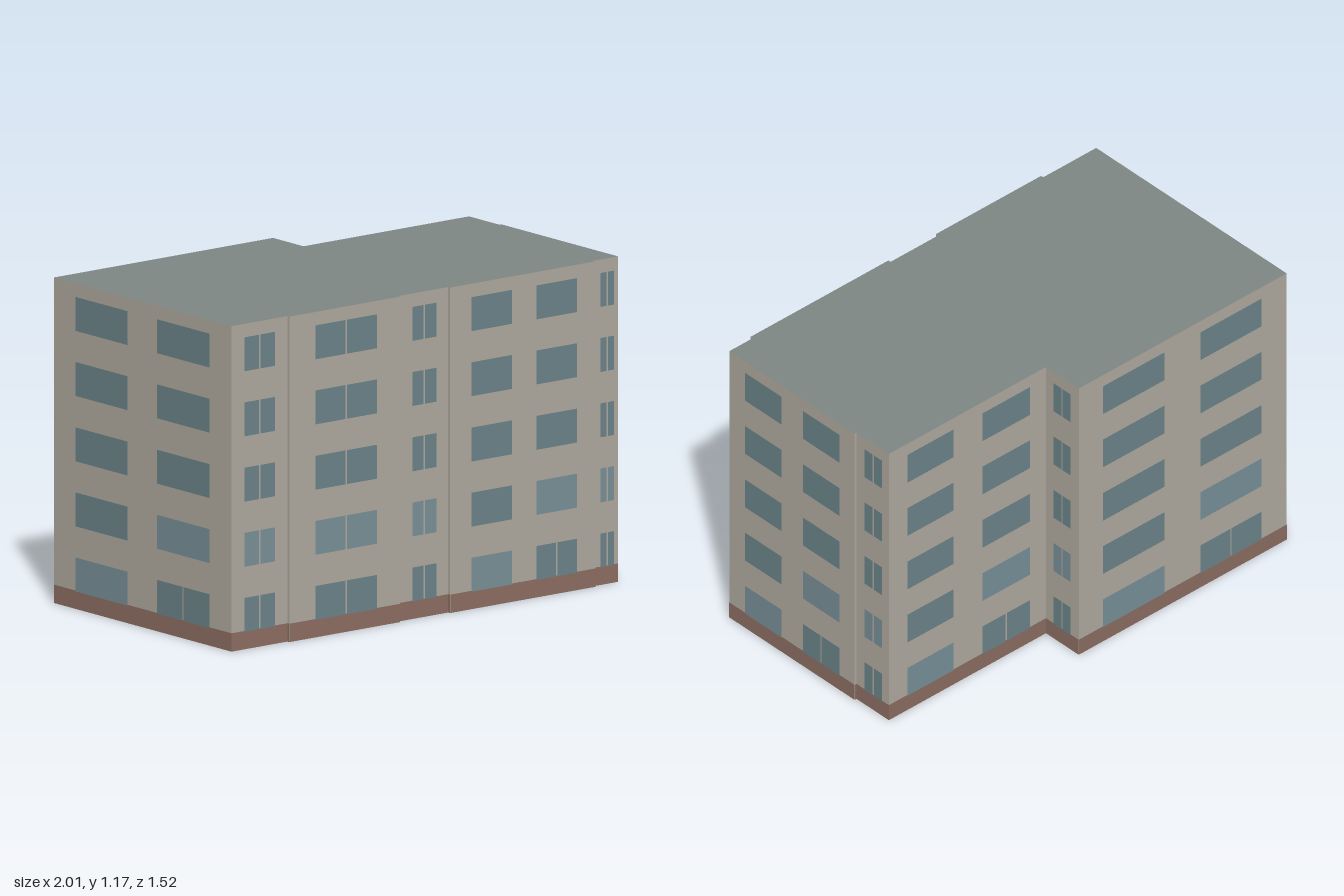
import * as THREE from 'three';

const HEIGHT = 1.17, PLINTH = 0.066, TURN = 0.476;
const ROWS = [0.063, 0.297, 0.531, 0.766, 1.0], WINDOW_H = 0.122, LIFT = 0.0015;

const mat = (color, side = THREE.FrontSide) => new THREE.MeshStandardMaterial({ color, side });

// Each entry is a corner of the footprint (u, v) and the window columns on the
// wall running from it to the next corner, as [start, end] along that wall.
const WALLS = [
  { at: [-0.836, 0.422], cols: [[0.057, 0.196]] },
  { at: [-0.584, 0.422], cols: [] },
  { at: [-0.584, 0.433], cols: [[0.117, 0.395]] },
  { at: [-0.084, 0.433], cols: [] },
  { at: [-0.084, 0.422], cols: [[0.063, 0.171]] },
  { at: [0.142, 0.422], cols: [] },
  { at: [0.142, 0.433], cols: [[0.094, 0.278], [0.389, 0.571]] },
  { at: [0.798, 0.433], cols: [] },
  { at: [0.798, 0.422], cols: [[0.031, 0.092]] },
  { at: [0.909, 0.422], cols: [[0.083, 0.272], [0.383, 0.572]] },
  { at: [0.909, -0.228], cols: [] },
  { at: [0.9, -0.228], cols: [[0.042, 0.134]] },
  { at: [0.9, -0.396], cols: [[0.087, 0.305], [0.443, 0.67]] },
  { at: [0.153, -0.396], cols: [[0.04, 0.129]] },
  { at: [0.153, -0.566], cols: [[0.114, 0.406], [0.577, 0.868]] },
  { at: [-0.836, -0.566], cols: [[0.121, 0.41], [0.575, 0.866]] },
];

export function createModel() {
  const wallMat = mat(0xb3ada2, THREE.DoubleSide);
  const roofMat = mat(0x7f8886, THREE.DoubleSide);
  const plinthMat = mat(0x8f7064);
  const glassMat = mat(0x6d868c);
  const paleGlassMat = mat(0x7a939b);

  // Upright rectangle in wall space: x along the wall, z outwards
  function panel(name, x0, x1, y0, y1, z, material) {
    const mesh = new THREE.Mesh(new THREE.PlaneGeometry(x1 - x0, y1 - y0), material);
    mesh.position.set((x0 + x1) / 2, (y0 + y1) / 2, z);
    mesh.name = name;
    return mesh;
  }

  const building = new THREE.Group();
  building.name = 'apartmentBlock';
  building.rotation.y = TURN;

  WALLS.forEach(({ at, cols }, i) => {
    const next = WALLS[(i + 1) % WALLS.length].at;
    const dx = next[0] - at[0], dz = next[1] - at[1];
    const length = Math.hypot(dx, dz);
    const side = new THREE.Group();
    side.name = 'facade';
    side.position.set(at[0], 0, at[1]);
    side.rotation.y = Math.atan2(-dz, dx);
    side.add(panel('wall', 0, length, 0, HEIGHT, 0, wallMat));
    side.add(panel('plinth', 0, length, 0, PLINTH, LIFT / 2, plinthMat));

    // Lone columns are paired panes; in a pair of columns only the second
    // one is split, on the ground floor
    cols.forEach(([a, b], c) => ROWS.forEach((y, row) => {
      const lone = cols.length === 1;
      const split = lone || (c === 1 && row === 0);
      const pale = lone || c === 1 ? row === 1 : row === 0;
      const material = pale ? paleGlassMat : glassMat;
      const mid = (a + b) / 2, gap = 0.003;
      const panes = split ? [[a, mid - gap], [mid + gap, b]] : [[a, b]];
      for (const [x0, x1] of panes) {
        side.add(panel('window', x0, x1, y, y + WINDOW_H, LIFT, material));
      }
    }));
    building.add(side);
  });

  // Flat roof following the footprint
  const outline = new THREE.Shape(WALLS.map(({ at }) => new THREE.Vector2(at[0], -at[1])));
  const roof = new THREE.Mesh(new THREE.ShapeGeometry(outline).rotateX(-Math.PI / 2), roofMat);
  roof.position.y = HEIGHT;
  roof.name = 'roof';
  building.add(roof);

  const model = new THREE.Group();
  model.add(building);
  return model;
}
